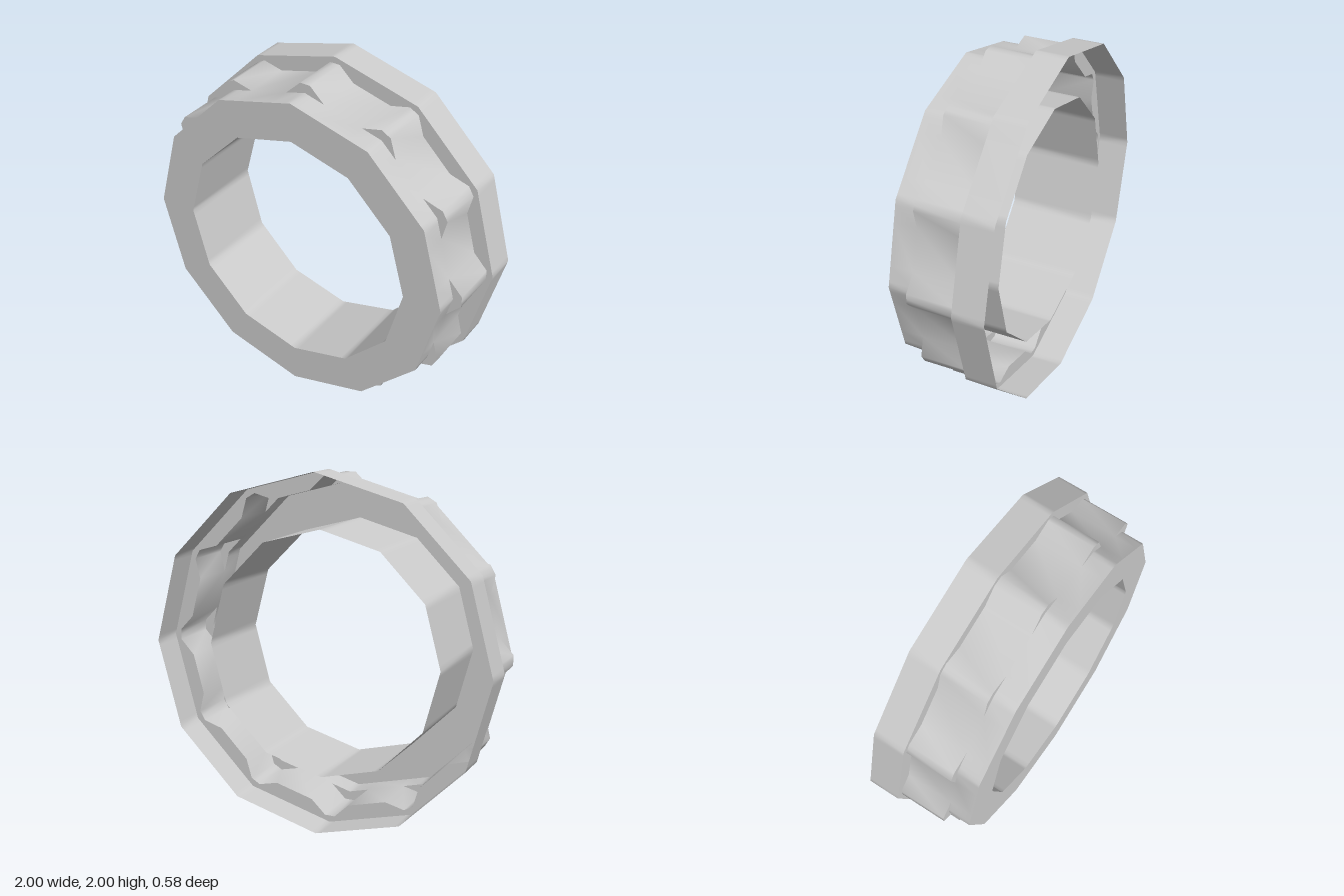
import * as THREE from 'three';
import { toCreasedNormals } from 'three/addons/utils/BufferGeometryUtils.js';

const SIDES = 12;
const SLOPE = Math.tan(Math.PI / SIDES);
// sideways offsets of the points around each corner of the twelve-sided outline
const OFFSETS = [-0.115, -0.03, 0, 0.03, 0.115];
const STUD_RADIUS = 0.962;

// Twelve-sided outline at depth z; with studs, each corner is raised to a flat-topped bump
function outline(radius, z, studs = false) {
  const points = [];
  for (let i = 0; i < SIDES; i++) {
    const a = (i * 2 * Math.PI) / SIDES;
    for (const t of OFFSETS) {
      const raised = studs && Math.abs(t) < 0.1;
      const r = raised ? STUD_RADIUS : radius - Math.abs(t) * SLOPE;
      points.push(new THREE.Vector3(
        r * Math.cos(a) - t * Math.sin(a),
        r * Math.sin(a) + t * Math.cos(a),
        z
      ));
    }
  }
  return points;
}

// Skin a series of outlines, leaving out faces without area
function skin(name, outlines, material) {
  const positions = [];
  const triangle = new THREE.Triangle();
  const add = (a, b, c) => {
    if (triangle.set(a, b, c).getArea() < 1e-7) return;
    for (const p of [a, b, c]) positions.push(p.x, p.y, p.z);
  };
  for (let k = 0; k < outlines.length - 1; k++) {
    const a = outlines[k];
    const b = outlines[k + 1];
    for (let i = 0; i < a.length; i++) {
      const j = (i + 1) % a.length;
      add(a[i], a[j], b[j]);
      add(a[i], b[j], b[i]);
    }
  }
  const geometry = new THREE.BufferGeometry();
  geometry.setAttribute('position', new THREE.Float32BufferAttribute(positions, 3));
  const mesh = new THREE.Mesh(toCreasedNormals(geometry, 0.9), material);
  mesh.name = name;
  return mesh;
}

export function createModel() {
  const group = new THREE.Group();
  group.name = 'studdedRing';
  const material = new THREE.MeshStandardMaterial({ color: 0xcccccc, side: THREE.DoubleSide });

  const back = -0.29, step = -0.11, studFront = 0.16, front = 0.29, boreBack = -0.22;
  const flange = 1, body = 0.912, bore = 0.692;

  // wide rear band, open at the back, with its forward-facing ledge
  group.add(skin('rearFlange', [
    outline(flange, back), outline(flange, step), outline(body, step, true),
  ], material));

  // outer wall with hollow studs, stepping down to the plain front rim
  group.add(skin('studdedWall', [
    outline(body, step, true), outline(body, studFront, true),
    outline(body, studFront), outline(body, front),
  ], material));

  // flat front face
  group.add(skin('frontFace', [outline(body, front), outline(bore, front)], material));

  // inner tube, ending just short of the back
  group.add(skin('bore', [outline(bore, front), outline(bore, boreBack)], material));

  for (const part of group.children) part.position.y = 1;
  return group;
}
